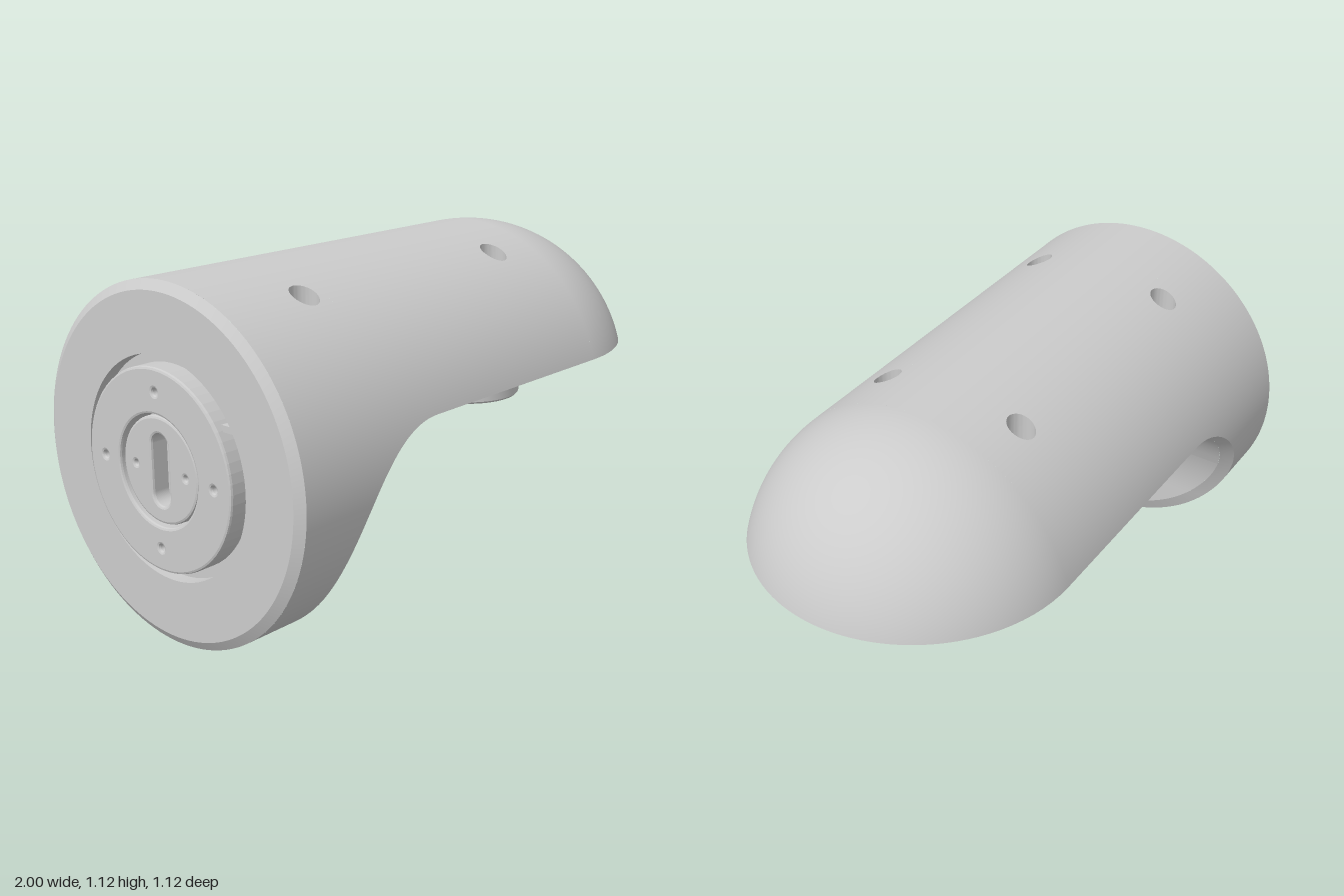
import * as THREE from 'three';
import { mergeGeometries, toCreasedNormals } from 'three/addons/utils/BufferGeometryUtils.js';

const R = 0.56, CY = 0.56, DOME = 0.46, BACK = -0.955, PI = Math.PI;
const PHI = Math.acos(0.14 / R);          // shell angle where the flat underside begins
const HOLE_X = [-0.635, 0.27], HOLE_Z = [-0.25, 0.25], HOLE_R = 0.045, HALF = 0.07;
const HEAD_X = 0.45;                      // centre of the mount under the arm
const Z_BREAKS = [-0.32, -0.18, 0.18, 0.32];
const lerp = THREE.MathUtils.lerp;

// Surface grid from f(u, v), facing du x dv
function grid(nu, nv, f, flip = false) {
  const pos = [], idx = [];
  for (let i = 0; i <= nu; i++) for (let j = 0; j <= nv; j++) pos.push(...f(i / nu, j / nv));
  for (let i = 0; i < nu; i++) for (let j = 0; j < nv; j++) {
    const a = i * (nv + 1) + j, b = a + nv + 1;
    idx.push(...(flip ? [a, b + 1, b, a, a + 1, b + 1] : [a, b, b + 1, a, b + 1, a + 1]));
  }
  const g = new THREE.BufferGeometry();
  g.setAttribute('position', new THREE.Float32BufferAttribute(pos, 3));
  g.setIndex(idx);
  g.computeVertexNormals();
  return g;
}

// Panels of a height surface y(x, z), with round holes in the cells around the screw positions
function panels(yOf, xs, flip) {
  const out = [];
  for (let i = 0; i < xs.length - 1; i++) for (let j = 0; j < 3; j++) {
    const xc = (xs[i] + xs[i + 1]) / 2, zc = (Z_BREAKS[j] + Z_BREAKS[j + 1]) / 2;
    const isHole = j !== 1 && HOLE_X.some(h => Math.abs(h - xc) < 0.01);
    out.push(isHole
      ? grid(4, 48, (q, t) => {
        const c = Math.cos(t * 2 * PI), s = Math.sin(t * 2 * PI);
        const d = lerp(HOLE_R, HALF / Math.max(Math.abs(c), Math.abs(s)), q);
        const x = xc + d * s, z = zc + d * c;
        return [x, yOf(x, z), z];
      }, flip)
      : grid(16, 32, (u, v) => {
        const x = lerp(xs[i], xs[i + 1], v), z = lerp(Z_BREAKS[j], Z_BREAKS[j + 1], u);
        return [x, yOf(x, z), z];
      }, flip));
  }
  return out;
}

const topY = (x, z) => CY + Math.sqrt(R * R - z * z);
const underY = x => x > -0.38 ? 0.68 : 0.2 + 0.48 * Math.sqrt(Math.max(0, 1 - ((x + 0.38) / 0.36) ** 2));
const halfWidth = (x, y, r) => Math.sqrt(Math.max(0, r * r - (y - CY) ** 2 - Math.max(0, x - DOME) ** 2));

// Underside path: wall, bend, flat, rounded end (s = 0..4) -> x, y, half width
function path(s, inner) {
  const r = inner ? 0.515 : R, ex = inner ? 0.36 : 0.38, ey = ex + 0.12, top = 0.2 + ey;
  let x, y = top;
  if (s < 1) { x = -0.38 - ex; y = lerp(CY - r, 0.2, 1 - Math.cos(s * PI / 2)); }
  else if (s < 2) {
    const a = (s - 1) * PI / 2;
    x = -0.38 - ex * Math.cos(a); y = 0.2 + ey * Math.sin(a);
  } else if (s < 3) x = lerp(-0.38, DOME, s - 2);
  else x = DOME + Math.sqrt(r * r - (top - CY) ** 2) * Math.sin((s - 3) * PI / 2);
  return [x, y, s === 0 || s === 4 ? 0 : halfWidth(x, y, r)];
}

function shellGeometry() {
  const onTube = (phi, x) => [x, CY + R * Math.cos(phi), R * Math.sin(phi)];
  const parts = panels(topY, [BACK, -0.705, -0.565, 0.2, 0.34, DOME], false);
  const p1 = Math.asin(0.32 / R);
  for (const [a, b] of [[p1, PHI], [-PHI, -p1]])
    parts.push(grid(24, 12, (u, v) => onTube(lerp(a, b, u), lerp(BACK, DOME, v))));
  // lower tube, trimmed by the bend
  parts.push(grid(160, 8, (u, v) => {
    const phi = PI - (PI - PHI) * Math.cos(PI * u), y = CY + R * Math.cos(phi);
    const end = y < 0.2 ? -0.76 : -0.38 - 0.38 * Math.sqrt(Math.max(0, 1 - ((y - 0.2) / 0.5) ** 2));
    return onTube(phi, lerp(BACK, end, v));
  }));
  // spherical nose, trimmed by the flat underside
  parts.push(grid(96, 40, (u, v) => {
    const phi = -PHI * Math.cos(PI * u);
    const a = v * Math.acos(Math.min(1, 0.25 / Math.cos(phi))), r = R * Math.cos(a);
    return [DOME + R * Math.sin(a), CY + r * Math.cos(phi), r * Math.sin(phi)];
  }));
  const g = mergeGeometries(parts), p = g.attributes.position, n = new THREE.Vector3();
  for (let i = 0; i < p.count; i++) {
    n.set(Math.max(0, p.getX(i) - DOME), p.getY(i) - CY, p.getZ(i)).normalize();
    g.attributes.normal.setXYZ(i, n.x, n.y, n.z);
  }
  return g;
}

function undersideGeometry() {
  const xa = -0.705, xb = 0.34;
  const sa = 1 + Math.acos((-0.38 - xa) / 0.36) * 2 / PI, sb = 2 + (xb + 0.38) / (DOME + 0.38);
  const parts = panels(underY, [xa, -0.565, 0.2, xb], true);
  for (const [s0, s1] of [[0, sa], [sb, 4]]) parts.push(grid(64, 16, (u, v) => {
    const [x, y, w] = path(lerp(s0, s1, u), true);
    return [x, y, lerp(-w, w, v)];
  }));
  for (const side of [1, -1]) parts.push(grid(64, 4, (u, v) => {
    const x = lerp(xa, xb, u), y = underY(x);
    return [x, y, side * lerp(0.32, halfWidth(x, y, 0.515), v)];
  }, side < 0));
  return mergeGeometries(parts);
}

// Round plate with screw holes and a central hole or slot
function plate(radius, depth, screws, screwR, slotW, slotH) {
  const shape = new THREE.Shape().absarc(0, 0, radius - 0.008, 0, 2 * PI);
  const cut = new THREE.Path();
  cut.absarc(0, slotH, slotW, 0, PI);
  cut.absarc(0, -slotH, slotW, PI, 2 * PI);
  shape.holes.push(cut);
  for (const [x, y] of screws) shape.holes.push(new THREE.Path().absarc(x, y, screwR, 0, 2 * PI));
  return new THREE.ExtrudeGeometry(shape, {
    depth: depth - 0.008, curveSegments: 32, bevelThickness: 0.008, bevelSize: 0.008, bevelSegments: 2,
  });
}

const lathe = (pts, seg = 96) => new THREE.LatheGeometry(pts.map(p => new THREE.Vector2(...p)), seg);

// Mount flange, scooped out where the screw holes pass
function flangeGeometry() {
  const g = lathe([[0, 0.588], [0.2, 0.588], [0.305, 0.588], [0.325, 0.595], [0.336, 0.61],
    [0.34, 0.63], [0.343, 0.655], [0.353, 0.672], [0.375, 0.681]], 192);
  const p = g.attributes.position, dx = HOLE_X[1] - HEAD_X, d = Math.hypot(dx, 0.25);
  for (let i = 0; i < p.count; i++) {
    const x = p.getX(i), z = p.getZ(i), r = Math.hypot(x, z);
    const off = d * Math.sin(Math.atan2(Math.abs(z), x) - Math.atan2(0.25, dx));
    if (r < 0.22 || Math.abs(off) >= 0.05 || x > 0) continue;
    const limit = Math.sqrt(d * d - off * off) - Math.sqrt(0.0025 - off * off);
    if (r > limit) { p.setX(i, x * limit / r); p.setZ(i, z * limit / r); }
  }
  return g;
}

export function createModel() {
  const group = new THREE.Group();
  const solid = new THREE.MeshStandardMaterial({ color: 0xcccccc });
  const sheet = new THREE.MeshStandardMaterial({ color: 0xcccccc, side: THREE.DoubleSide });
  const add = (name, geometry, material = solid) => {
    const mesh = new THREE.Mesh(geometry, material);
    mesh.name = name;
    group.add(mesh);
    return mesh;
  };
  const crease = g => toCreasedNormals(g, 0.5);

  // Arm body
  add('armShell', shellGeometry());
  add('underside', undersideGeometry());
  for (const side of [1, -1]) add('edgeChamfer', grid(200, 1, (u, v) => {
    const [x, y, w] = path(u * 4, v === 0);
    return [x, y, side * w];
  }, side < 0));

  // Stepped linings of the vertical screw holes
  for (const x0 of HOLE_X) for (const z0 of HOLE_Z) {
    const steps = [[HOLE_R, topY], [HOLE_R, () => 0.97], [0.02, () => 0.97],
      [0.02, () => 0.74], [HOLE_R, () => 0.74], [HOLE_R, underY]];
    add('screwHole', crease(grid(48, 5, (u, v) => {
      const [r, yOf] = steps[Math.round(v * 5)];
      const x = x0 + r * Math.sin(u * 2 * PI), z = z0 + r * Math.cos(u * 2 * PI);
      return [x, yOf(x, z), z];
    })), sheet);
  }

  // Wall end: chamfered back with a round recess
  add('backFace', crease(lathe([[0, -0.93], [0.345, -0.93], [0.345, -0.975], [0.53, -0.975], [R, BACK]], 128)
    .rotateZ(-PI / 2).translate(0, CY, 0)));
  const onBack = (name, g) => add(name, g.rotateY(-PI / 2).translate(-0.93, CY, 0));
  const cross = [[0.24, 0], [-0.24, 0], [0, 0.24], [0, -0.24]];
  onBack('wallPlate', plate(0.313, 0.07, cross, 0.02, 0.18, 0));
  onBack('wallPlateCore', plate(0.165, 0.06, [[0.11, 0], [-0.11, 0]], 0.017, 0.045, 0.075));
  const tab = add('indexTab', new THREE.BoxGeometry(0.04, 0.02, 0.05));
  tab.position.set(-0.955, 0.74, 0.28);

  // Mount under the arm
  add('mountFlange', crease(flangeGeometry()), sheet).position.x = HEAD_X;
  add('mountCollar', crease(lathe([[0, 0.545], [0.165, 0.545], [0.165, 0.5], [0.17, 0.495], [0.19, 0.495],
    [0.196, 0.502], [0.196, 0.53], [0.188, 0.534], [0.188, 0.541], [0.206, 0.541], [0.212, 0.547],
    [0.212, 0.59]]))).position.x = HEAD_X;
  const holes = [[0.1, 0.05], [0.1, -0.05], [-0.1, 0.05], [-0.1, -0.05]];
  add('mountCore', plate(0.155, 0.03, holes, 0.02, 0.036, 0.08).rotateX(PI / 2).translate(HEAD_X, 0.545, 0));
  return group;
}
